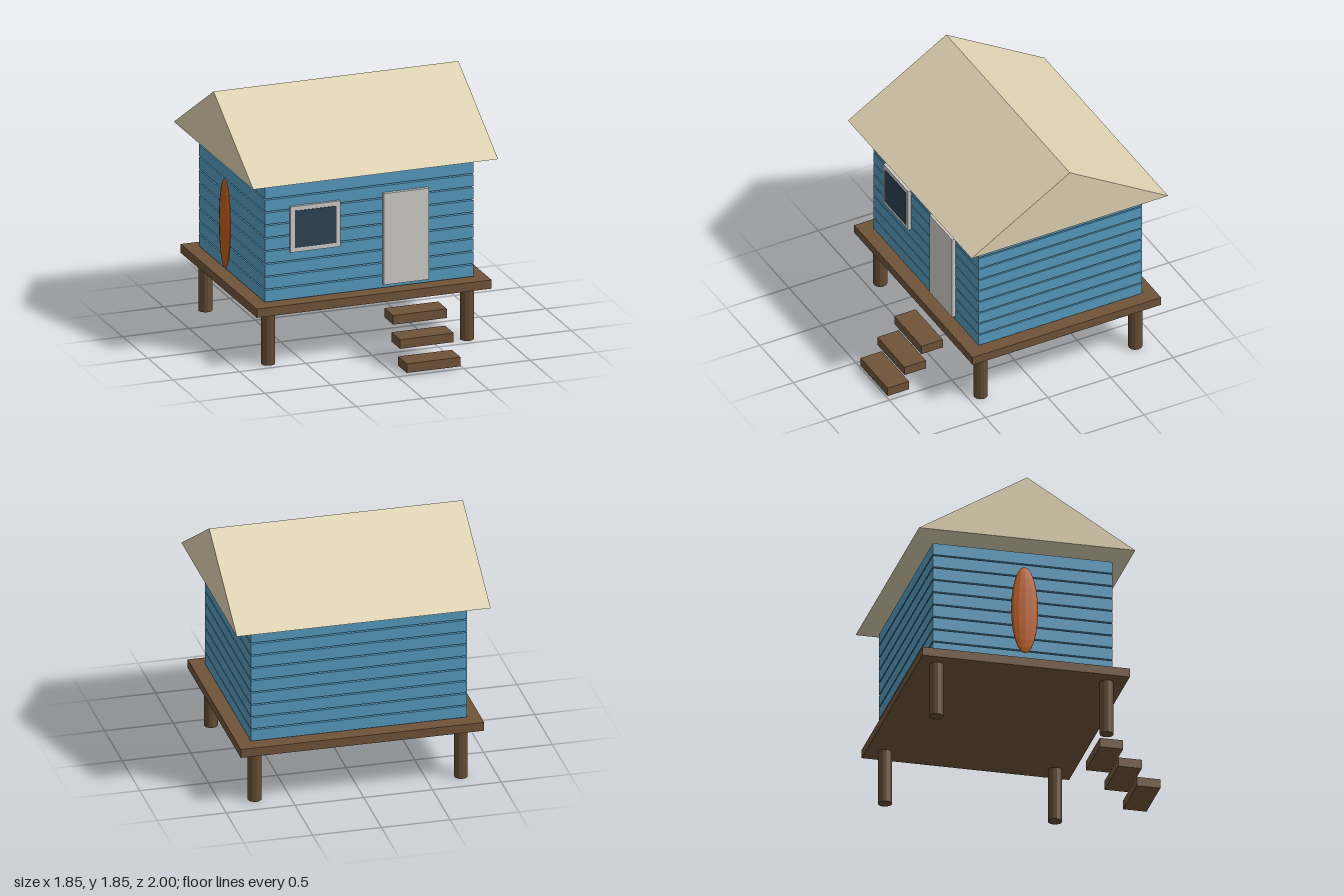
import * as THREE from 'three';

const mat = (name, color, extra = {}) => {
  const m = new THREE.MeshStandardMaterial({ color, ...extra });
  m.name = name;
  return m;
};

export function createModel() {
  const wood = mat('deck wood', 0x6f5339);
  const postWood = mat('post wood', 0x644c33, { flatShading: true });
  const blue = mat('blue siding', 0x5599bd);
  const trim = mat('pale grey trim', 0xcccbc8);
  const glass = mat('dark glass', 0x2d4252);
  const thatch = mat('straw roof', 0xddd0b0);
  const orange = mat('orange board', 0xbb5c1c, { flatShading: true });

  const hut = new THREE.Group();
  hut.name = 'stiltHut';
  const midZ = -0.2125;

  const add = (name, geometry, material, x = 0, y = 0, z = 0) => {
    const mesh = new THREE.Mesh(geometry, material);
    mesh.name = name;
    mesh.position.set(x, y, z);
    hut.add(mesh);
    return mesh;
  };
  // Box given by its limits on each axis
  const box = (name, material, [x0, x1], [y0, y1], [z0, z1]) =>
    add(name, new THREE.BoxGeometry(x1 - x0, y1 - y0, z1 - z0), material,
      (x0 + x1) / 2, (y0 + y1) / 2, (z0 + z1) / 2);

  // Stilts and deck
  const postGeo = new THREE.CylinderGeometry(0.05, 0.05, 0.4, 12);
  for (const x of [-0.75, 0.75])
    for (const z of [0.405, -0.83]) add('post', postGeo, postWood, x, 0.2, z);
  box('deck', wood, [-0.885, 0.885], [0.4, 0.465], [-0.965, 0.54]);

  // Floating steps
  for (let i = 0; i < 3; i++) {
    const y = 0.02 + i * 0.1365, z = 0.83 - i * 0.135;
    box('step', wood, [0.07, 0.475], [y, y + 0.068], [z, z + 0.17]);
  }

  // Walls: stacked planks with open gaps
  for (let i = 0; i < 9; i++) {
    const y = 0.472 + i * 0.096;
    box('wallPlank', blue, [-0.786, 0.786], [y, y + 0.086], [-0.865, 0.44]);
  }

  // Door and window
  box('door', trim, [0.1, 0.44], [0.5, 1.18], [0.435, 0.467]);
  box('windowFrame', trim, [-0.6, -0.225], [0.825, 1.165], [0.435, 0.462]);
  box('windowGlass', glass, [-0.568, -0.258], [0.858, 1.133], [0.461, 0.467]);

  // Gable roof as one closed prism along x
  const gable = new THREE.Shape();
  gable.moveTo(-0.785, 0);
  gable.lineTo(0.785, 0);
  gable.lineTo(0, 0.478);
  gable.closePath();
  const roofGeo = new THREE.ExtrudeGeometry(gable, { depth: 1.846, bevelEnabled: false });
  roofGeo.translate(0, 0, -0.923);
  roofGeo.rotateY(Math.PI / 2);
  add('roof', roofGeo, thatch, 0, 1.37, -0.215);

  // Surfboard standing by the side wall
  const boardGeo = new THREE.SphereGeometry(1, 12, 12);
  boardGeo.scale(0.027, 0.335, 0.098);
  add('surfboard', boardGeo, orange, -0.838, 0.855, midZ);

  return hut;
}
